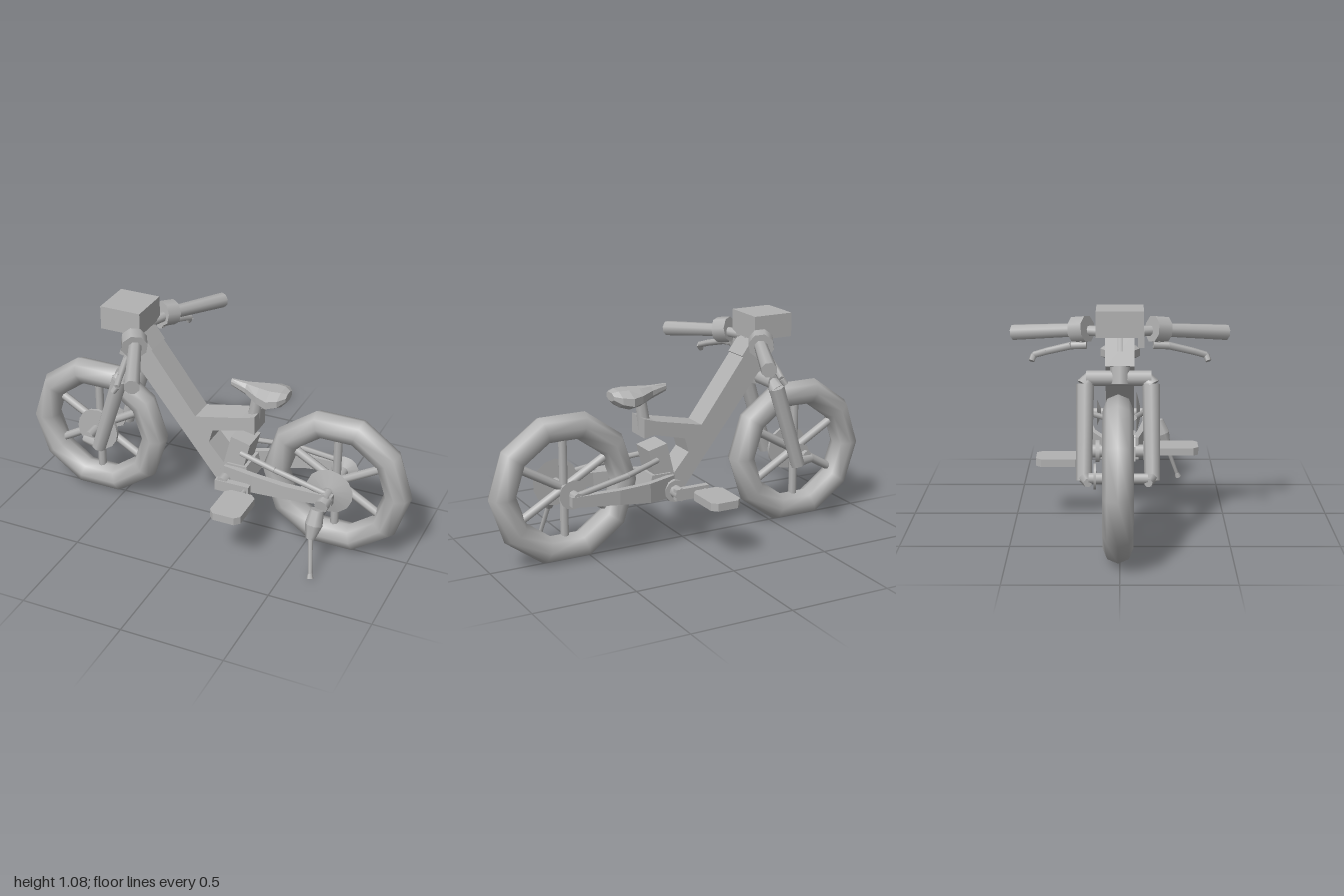
import * as THREE from 'three';

export function createModel() {
  const root = new THREE.Group();
  root.name = 'bicycle';
  const grey = new THREE.MeshStandardMaterial({ color: 0xb2b2b2, side: THREE.DoubleSide });
  grey.name = 'grey';
  const V = (p) => new THREE.Vector3(...p);

  const add = (name, geo, pos = [0, 0, 0], parent = root) => {
    const m = new THREE.Mesh(geo, grey);
    m.name = name;
    m.position.set(...pos);
    parent.add(m);
    return m;
  };
  const flat = (geo) => {
    const g = geo.index ? geo.toNonIndexed() : geo;
    g.computeVertexNormals();
    return g;
  };
  // Tapered round bar from a to b
  const rod = (name, a, b, r0, r1 = r0, sides = 8, parent = root) => {
    const d = V(b).sub(V(a));
    const m = add(name, new THREE.CylinderGeometry(r1, r0, d.length(), sides), [0, 0, 0], parent);
    m.position.copy(V(a)).addScaledVector(d, 0.5);
    m.quaternion.setFromUnitVectors(new THREE.Vector3(0, 1, 0), d.normalize());
    return m;
  };
  // Plate drawn in the side plane and given a thickness along z
  const plate = (name, pts, z0, z1) => {
    const s = new THREE.Shape(pts.map((p) => new THREE.Vector2(...p)));
    return add(name, new THREE.ExtrudeGeometry(s, { depth: z1 - z0, bevelEnabled: false }), [0, 0, z0]);
  };
  // Loft through rectangular sections: [x, y, z, halfHeight, halfWidth], in order along x
  const loft = (name, secs, sides = 4) => {
    const pos = [], idx = [];
    for (const [x, y, z, h, w] of secs) {
      for (let i = 0; i < sides; i++) {
        const t = ((i + 0.5) / sides) * Math.PI * 2, k = 1 / Math.cos(Math.PI / sides);
        pos.push(x, y + Math.sin(t) * h * k, z + Math.cos(t) * w * k);
      }
    }
    const n = secs.length;
    for (let j = 0; j < n - 1; j++) {
      for (let i = 0; i < sides; i++) {
        const a = j * sides + i, b = j * sides + (i + 1) % sides;
        idx.push(a, a + sides, b, b, a + sides, b + sides);
      }
    }
    for (let i = 1; i < sides - 1; i++) {
      const e = (n - 1) * sides;
      idx.push(0, i, i + 1, e, e + i + 1, e + i);
    }
    const g = new THREE.BufferGeometry();
    g.setAttribute('position', new THREE.Float32BufferAttribute(pos, 3));
    g.setIndex(idx);
    return add(name, flat(g));
  };

  // Wheels: ten-sided tyre, six spokes, axle
  for (const [label, x] of [['front', -0.63], ['rear', 0.627]]) {
    const wheel = new THREE.Group();
    wheel.name = label + 'Wheel';
    wheel.position.set(x, 0.36, -0.008);
    root.add(wheel);
    add('tyre', new THREE.TorusGeometry(0.304, 0.067, 8, 10), [0, 0, 0], wheel);
    for (let i = 0; i < 6; i++) {
      const a = Math.PI / 6 + (i * Math.PI) / 3;
      rod('spoke', [0, 0, 0], [Math.cos(a) * 0.26, Math.sin(a) * 0.26, 0], 0.021, 0.021, 8, wheel);
    }
    const w = label === 'front' ? 0.13 : 0.17;
    rod('axle', [0, 0, -w], [0, 0, w], 0.024, 0.024, 8, wheel);
  }
  // Brake disc and sprockets
  rod('frontDisc', [-0.62, 0.36, 0.03], [-0.62, 0.36, 0.045], 0.11, 0.11, 16);
  rod('frontCaliper', [-0.6, 0.36, -0.115], [-0.6, 0.36, -0.105], 0.06, 0.06, 8);
  rod('rearDisc', [0.627, 0.36, 0.085], [0.627, 0.36, 0.105], 0.115, 0.03, 14);
  rod('rearSprocket', [0.627, 0.36, -0.122], [0.627, 0.36, -0.1], 0.07, 0.02, 14);

  // Fork
  for (const s of [-1, 1]) {
    const z = -0.008 + s * 0.152;
    rod('forkLeg', [-0.56, 0.33, z], [-0.43, 0.74, z - s * 0.005], 0.035, 0.04, 8);
    rod('forkShoulder', [-0.43, 0.735, z - s * 0.005], [-0.415, 0.775, z - s * 0.03], 0.041, 0.025, 8);
    rod('forkDropout', [-0.55, 0.345, z], [-0.65, 0.345, z - s * 0.02], 0.028, 0.02, 6);
  }
  rod('forkCrown', [-0.42, 0.765, -0.15], [-0.42, 0.765, 0.14], 0.036, 0.036, 8);
  rod('steererCollar', [-0.43, 0.74, 0], [-0.41, 0.83, 0], 0.045, 0.045, 8);

  // Main frame
  plate('headTube', [[-0.47, 0.83], [-0.38, 0.81], [-0.29, 0.89], [-0.35, 0.97], [-0.42, 0.97]], -0.065, 0.065);
  plate('mainFrame', [
    [-0.39, 0.81], [0.05, 0.25], [0.1, 0.25], [0.09, 0.35], [0, 0.455], [0.02, 0.525],
    [0.18, 0.565], [0.235, 0.555], [0.235, 0.65], [0.17, 0.63], [-0.07, 0.58], [-0.3, 0.89],
  ], -0.065, 0.065);
  const block = add('shockBlock', new THREE.BoxGeometry(0.1, 0.17, 0.13), [0.145, 0.42, 0]);
  block.rotation.z = -0.24;
  plate('bottomBracket', [[0.05, 0.25], [0.15, 0.25], [0.22, 0.29], [0.2, 0.37], [0.1, 0.37], [0.06, 0.32]], -0.075, 0.075);

  // Swing arm and upper stays
  for (const [s, out] of [[1, 0.13], [-1, 0.165]]) {
    loft('swingArm', [
      [0.09, 0.305, s * 0.075, 0.055, 0.015], [0.25, 0.315, s * (out - 0.025), 0.047, 0.015],
      [0.42, 0.33, s * out, 0.035, 0.016], [0.66, 0.345, s * out, 0.024, 0.016],
    ]);
    rod('upperStay', [0.17, 0.44, s * 0.07], [0.36, 0.415, s * (out - 0.025)], 0.014, 0.014, 6);
    rod('upperStay', [0.36, 0.415, s * (out - 0.025)], [0.63, 0.37, s * out], 0.014, 0.014, 6);
  }

  // Saddle and post
  rod('seatPost', [0.2, 0.57, 0], [0.22, 0.72, 0], 0.034, 0.028, 8);
  loft('saddle', [
    [0.09, 0.773, 0, 0.018, 0.01], [0.17, 0.758, 0, 0.03, 0.028], [0.24, 0.747, 0, 0.042, 0.07],
    [0.3, 0.745, 0, 0.046, 0.098], [0.35, 0.753, 0, 0.038, 0.08], [0.378, 0.762, 0, 0.02, 0.04],
  ], 8);

  // Cranks and pedals
  rod('crankAxle', [0.1, 0.29, -0.18], [0.1, 0.29, 0.14], 0.032, 0.032, 8);
  rod('chainRing', [0.1, 0.29, -0.12], [0.1, 0.29, -0.1], 0.055, 0.055, 10);
  for (const [s, cx, px, y, z, pz] of [[1, 0.155, 0.22, 0.28, 0.13, 0.28], [-1, 0.04, -0.025, 0.29, -0.165, -0.295]]) {
    add('crank', new THREE.BoxGeometry(0.175, 0.055, 0.032), [cx, y, z]);
    const w = 0.078, h = 0.107, c = 0.025;
    const shape = new THREE.Shape([
      [-w, -h + c], [-w + c, -h], [w - c, -h], [w, -h + c], [w, h - c], [w - c, h], [-w + c, h], [-w, h - c],
    ].map((p) => new THREE.Vector2(...p)));
    const pedal = add('pedal', new THREE.ExtrudeGeometry(shape, { depth: 0.038, bevelEnabled: false }), [px, y - 0.025, pz]);
    pedal.rotation.x = -Math.PI / 2;
    rod('pedalPin', [px, y, z], [px, y, pz - s * 0.1], 0.014, 0.014, 6);
  }

  // Handlebar, grips and brake levers
  rod('stem', [-0.41, 0.88, 0], [-0.38, 0.98, 0], 0.045, 0.04, 8);
  for (const s of [-1, 1]) {
    rod('bar', [-0.385, 0.965, 0], [-0.32, 0.965, s * 0.17], 0.024, 0.024, 8);
    rod('gripCollar', [-0.345, 0.975, s * 0.145], [-0.31, 0.965, s * 0.205], 0.062, 0.062, 8);
    rod('grip', [-0.32, 0.967, s * 0.18], [-0.178, 0.93, s * 0.49], 0.031, 0.037, 8);
    const lever = [[-0.36, 0.905, 0.15], [-0.35, 0.9, 0.22], [-0.325, 0.87, 0.33], [-0.31, 0.85, 0.39], [-0.325, 0.825, 0.4]];
    for (let i = 0; i < lever.length - 1; i++) {
      const [a, b] = [lever[i], lever[i + 1]].map((p) => [p[0], p[1], p[2] * s]);
      rod('brakeLever', a, b, 0.018 - i * 0.001, 0.017 - i * 0.001, 6);
    }
    rod('leverMount', [-0.34, 0.96, s * 0.16], [-0.355, 0.9, s * 0.17], 0.02, 0.02, 6);
  }
  add('boxBracket', new THREE.BoxGeometry(0.06, 0.075, 0.028), [-0.37, 0.935, 0.095]);
  add('frontBox', new THREE.BoxGeometry(0.205, 0.115, 0.21), [-0.437, 1.027, 0]);

  // Kickstand
  rod('standPivot', [0.63, 0.345, 0.12], [0.625, 0.335, 0.19], 0.034, 0.034, 8);
  rod('standBody', [0.61, 0.32, 0.195], [0.605, 0.25, 0.22], 0.032, 0.042, 8);
  rod('standBody', [0.605, 0.25, 0.22], [0.6, 0.185, 0.245], 0.042, 0.022, 8);
  rod('standLeg', [0.6, 0.19, 0.243], [0.628, 0.02, 0.303], 0.012, 0.01, 6);
  rod('standFoot', [0.626, 0.03, 0.3], [0.63, 0.008, 0.308], 0.011, 0.016, 6);

  return root;
}
